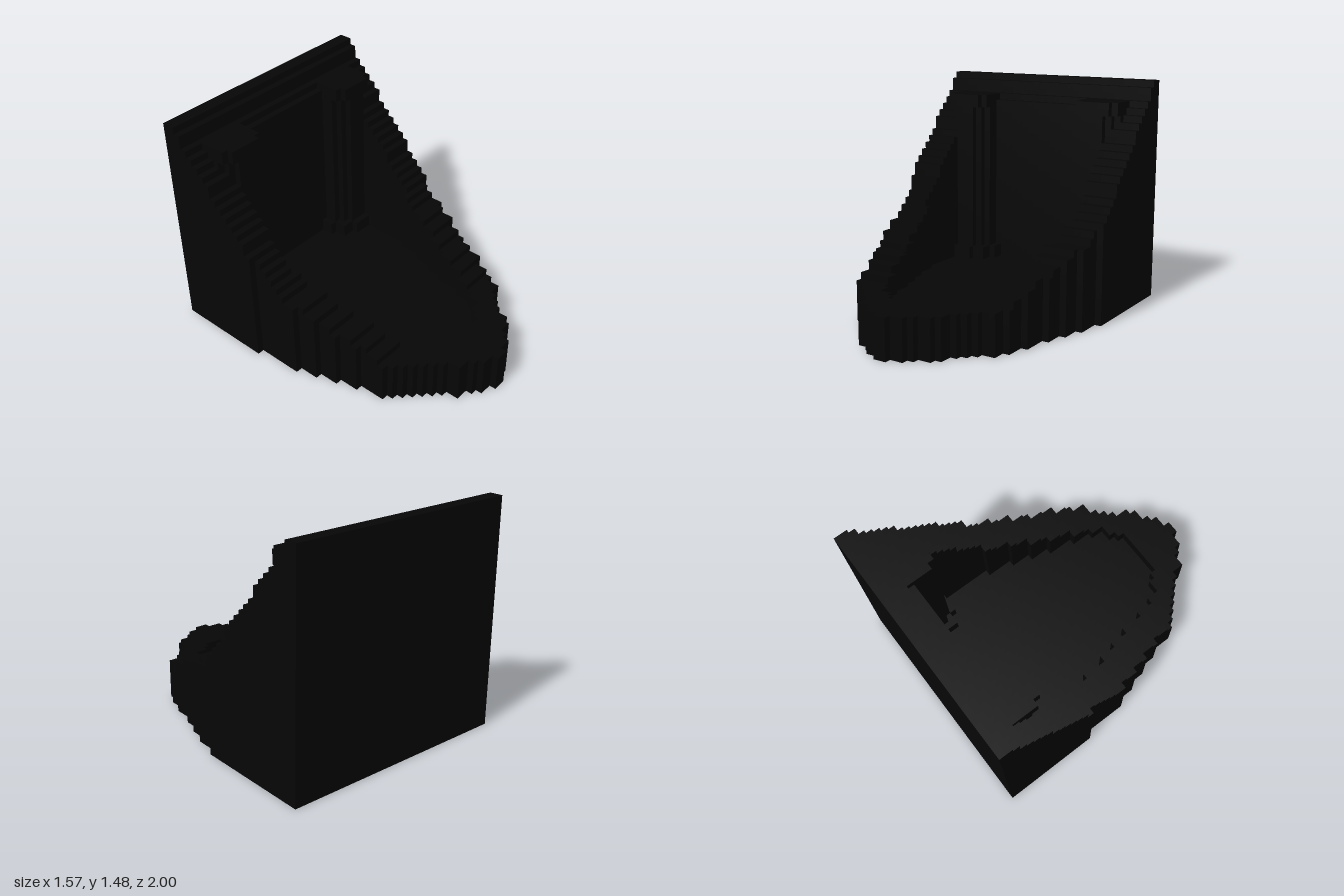
import * as THREE from 'three';

const V = 2 / 46;                 // voxel size
const NX = 36, NY = 34, NZ = 46;  // grid size
const WALL = 5, FLOOR = 4;        // wall thickness and floor height in voxels

// wall top height for each row, counted from the back
const TOPS = [34, 34, 33, 31, 30, 29, 28, 27, 25, 24, 23, 22, 21, 20, 18, 17, 16, 15,
  14, 13, 12, 12, 12, 11, 11, 10, 10, 9, 9, 9, 8, 8, 7, 7];
const topOf = (k) => TOPS[k] ?? 6;

// plan outline: [half width, first row past it]
const NOSE = [[10, 38], [9, 39], [8, 40]];
const TIP = [[6, 43], [4, 44], [3, 45], [1, 46]];
const POSITIVE = [[18, 18], [17, 22], [16, 25], [15, 28], [14, 32], [13, 35], [12, 37],
  ...NOSE, [7, 42], ...TIP];
const NEGATIVE = [[18, 15], [17, 22], [16, 25], [15, 28], [14, 31], [13, 35], [12, 36], [11, 37],
  ...NOSE, [7, 41], ...TIP];
const widthAt = (outline, k) => outline.find(([, end]) => k < end)[0];

// round column with a wider base and capital
function inColumn(x, y, z) {
  if (y >= 31) return false;
  const r = y < FLOOR + 2 ? 0.19 : y >= 29 ? 0.165 : 0.145;
  return Math.hypot(Math.abs(x) * V - 0.5, z + 0.76) < r;
}

// name of the part filling a voxel, or null when empty
function partAt(i, j, k) {
  if (i < 0 || j < 0 || k < 0 || i >= NX || j >= NY || k >= NZ) return null;
  const x = i + 0.5 - NX / 2;
  const z = (k + 0.5) * V - 1;
  if (Math.abs(x) > widthAt(x > 0 ? POSITIVE : NEGATIVE, k)) return null;
  const inside = k >= WALL && k < 39 && Math.abs(x) < widthAt(POSITIVE, k) - WALL;
  if (!inside && j < topOf(k)) return k < WALL ? 'backWall' : 'curvedWall';
  if (inside && j < FLOOR) return 'floor';
  if (inColumn(x, j, z)) return x > 0 ? 'leftColumn' : 'rightColumn';
  return null;
}

// face directions with two edge vectors whose cross product points outward
const FACES = [
  [[1, 0, 0], [0, 1, 0], [0, 0, 1]], [[-1, 0, 0], [0, 0, 1], [0, 1, 0]],
  [[0, 1, 0], [0, 0, 1], [1, 0, 0]], [[0, -1, 0], [1, 0, 0], [0, 0, 1]],
  [[0, 0, 1], [1, 0, 0], [0, 1, 0]], [[0, 0, -1], [0, 1, 0], [1, 0, 0]],
];
const QUAD = [[0, 0], [1, 0], [1, 1], [0, 0], [1, 1], [0, 1]];

export function createModel() {
  const group = new THREE.Group();
  const material = new THREE.MeshStandardMaterial({
    color: 0x060606, flatShading: true, side: THREE.DoubleSide,
  });
  const parts = {};

  // collect exposed faces per part; the underside stays open
  for (let i = 0; i < NX; i++) for (let j = 0; j < NY; j++) for (let k = 0; k < NZ; k++) {
    const name = partAt(i, j, k);
    if (!name) continue;
    const out = (parts[name] ??= []);
    for (const [d, u, w] of FACES) {
      if (j + d[1] < 0 || partAt(i + d[0], j + d[1], k + d[2])) continue;
      const base = [i, j, k].map((c, n) => c + Math.max(d[n], 0));
      for (const [a, b] of QUAD) {
        const p = base.map((c, n) => c + a * u[n] + b * w[n]);
        out.push((p[0] - NX / 2) * V, p[1] * V, (p[2] - NZ / 2) * V);
      }
    }
  }

  for (const [name, positions] of Object.entries(parts)) {
    const geometry = new THREE.BufferGeometry();
    geometry.setAttribute('position', new THREE.Float32BufferAttribute(positions, 3));
    geometry.computeVertexNormals();
    const mesh = new THREE.Mesh(geometry, material);
    mesh.name = name;
    group.add(mesh);
  }
  return group;
}
